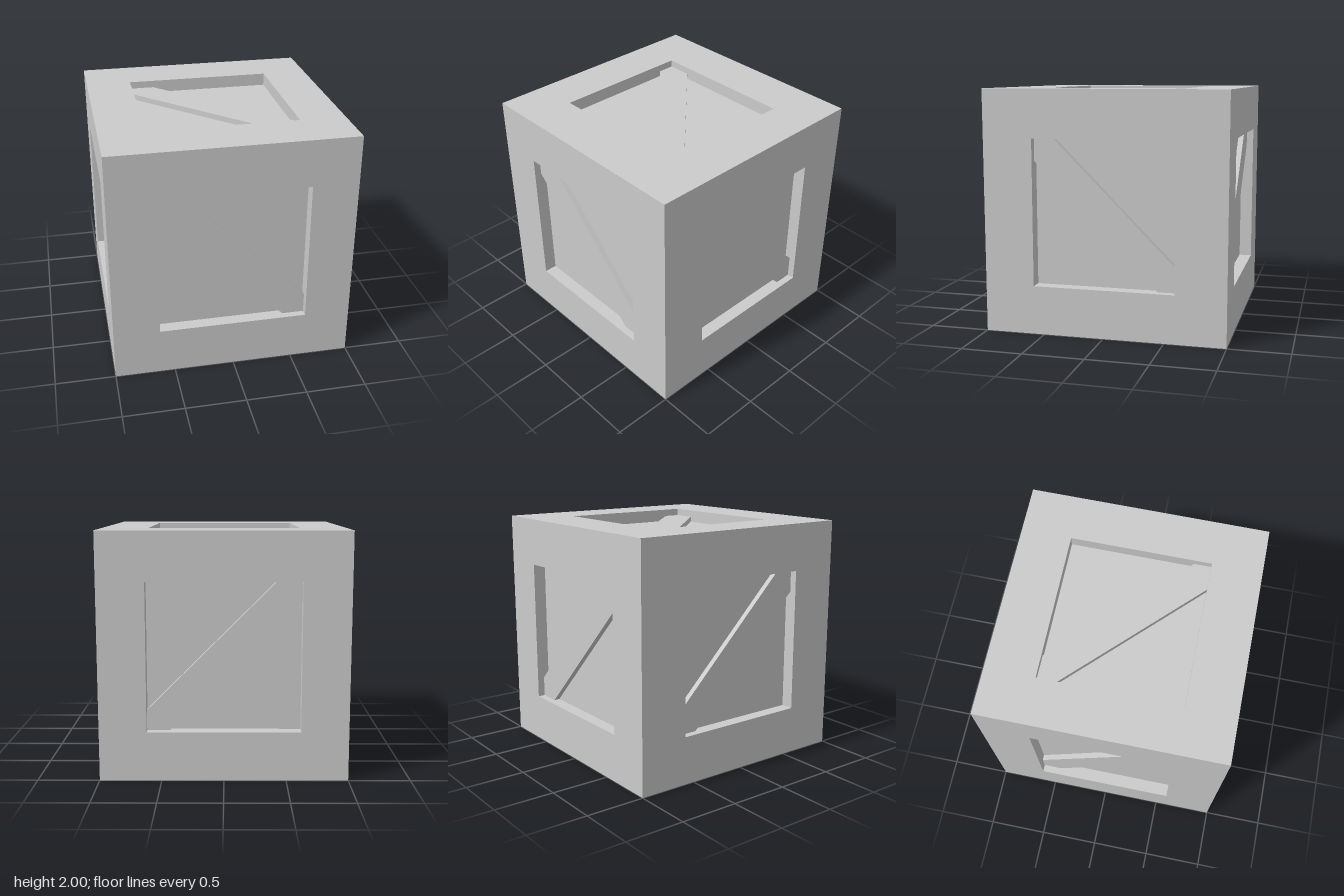
import * as THREE from 'three';

const DEPTH = 0.107;       // recess depth
const BRACE_DROP = 0.06;   // brace surface below the rim
const HALF_X = 0.617, HALF_Y = 0.602, HALF_Z = 0.585; // half sizes of the openings
const LIFT = 0.0025;       // side openings sit a touch above the middle

const material = new THREE.MeshStandardMaterial({ color: 0xcccccc, flatShading: true });

function addMesh(group, name, geometry) {
  const mesh = new THREE.Mesh(geometry, material);
  mesh.name = name;
  group.add(mesh);
}

// Flat square border with a rectangular opening
function rimGeometry(w, h, lift) {
  const rect = (a, b, c, d) => [[a, c], [b, c], [b, d], [a, d]].map(p => new THREE.Vector2(...p));
  const shape = new THREE.Shape(rect(-1, 1, -1, 1));
  shape.holes.push(new THREE.Path(rect(-w, w, lift - h, lift + h).reverse()));
  return new THREE.ShapeGeometry(shape).translate(0, 0, 1);
}

// Inward-facing box without its front: four walls and the sunken panel
function recessGeometry(w, h, lift) {
  const geometry = new THREE.BoxGeometry(2 * w, 2 * h, DEPTH);
  const index = Array.from(geometry.index.array);
  index.splice(24, 6);
  geometry.setIndex(index.reverse());
  geometry.clearGroups();
  geometry.computeVertexNormals();
  return geometry.translate(0, lift, 1 - DEPTH / 2);
}

// 45 degree board trimmed to the opening; side = -1 mirrors it
function braceGeometry(w, h, lift, low, high, side) {
  const top = lift + h, bottom = lift - h;
  const points = [
    [-w, top], [high - top, top], [w, high - w],
    [w, bottom], [low - bottom, bottom], [-w, low + w],
  ].map(([x, y]) => new THREE.Vector2(side * x, y));
  const geometry = new THREE.ExtrudeGeometry(new THREE.Shape(points), {
    depth: DEPTH - BRACE_DROP, bevelEnabled: false,
  });
  return geometry.translate(0, 0, 1 - DEPTH);
}

export function createModel() {
  const crate = new THREE.Group();
  crate.name = 'crate';

  // side: brace direction, 0 for no brace
  const faces = [
    { name: 'front', rx: 0, ry: 0, w: HALF_X, h: HALF_Y, side: 1 },
    { name: 'back', rx: 0, ry: Math.PI, w: HALF_X, h: HALF_Y, side: -1 },
    { name: 'left', rx: 0, ry: Math.PI / 2, w: HALF_Z, h: HALF_Y, side: 1 },
    { name: 'right', rx: 0, ry: -Math.PI / 2, w: HALF_Z, h: HALF_Y, side: -1 },
    { name: 'top', rx: -Math.PI / 2, ry: 0, w: HALF_X, h: HALF_Z, side: 1 },
    { name: 'bottom', rx: Math.PI / 2, ry: 0, w: HALF_X, h: HALF_Z, side: 0 },
  ];

  for (const { name, rx, ry, w, h, side } of faces) {
    const upright = rx === 0;
    const lift = upright ? LIFT : 0;
    const shift = upright ? 0.01 : 0;
    const face = new THREE.Group();
    face.name = name + 'Face';
    addMesh(face, name + 'Rim', rimGeometry(w, h, lift));
    addMesh(face, name + 'RecessedPanel', recessGeometry(w, h, lift));
    if (side) addMesh(face, name + 'Brace', braceGeometry(w, h, lift, shift - 0.175, shift + 0.175, side));
    face.rotation.set(rx, ry, 0);
    face.position.y = 1;
    crate.add(face);
  }
  return crate;
}
